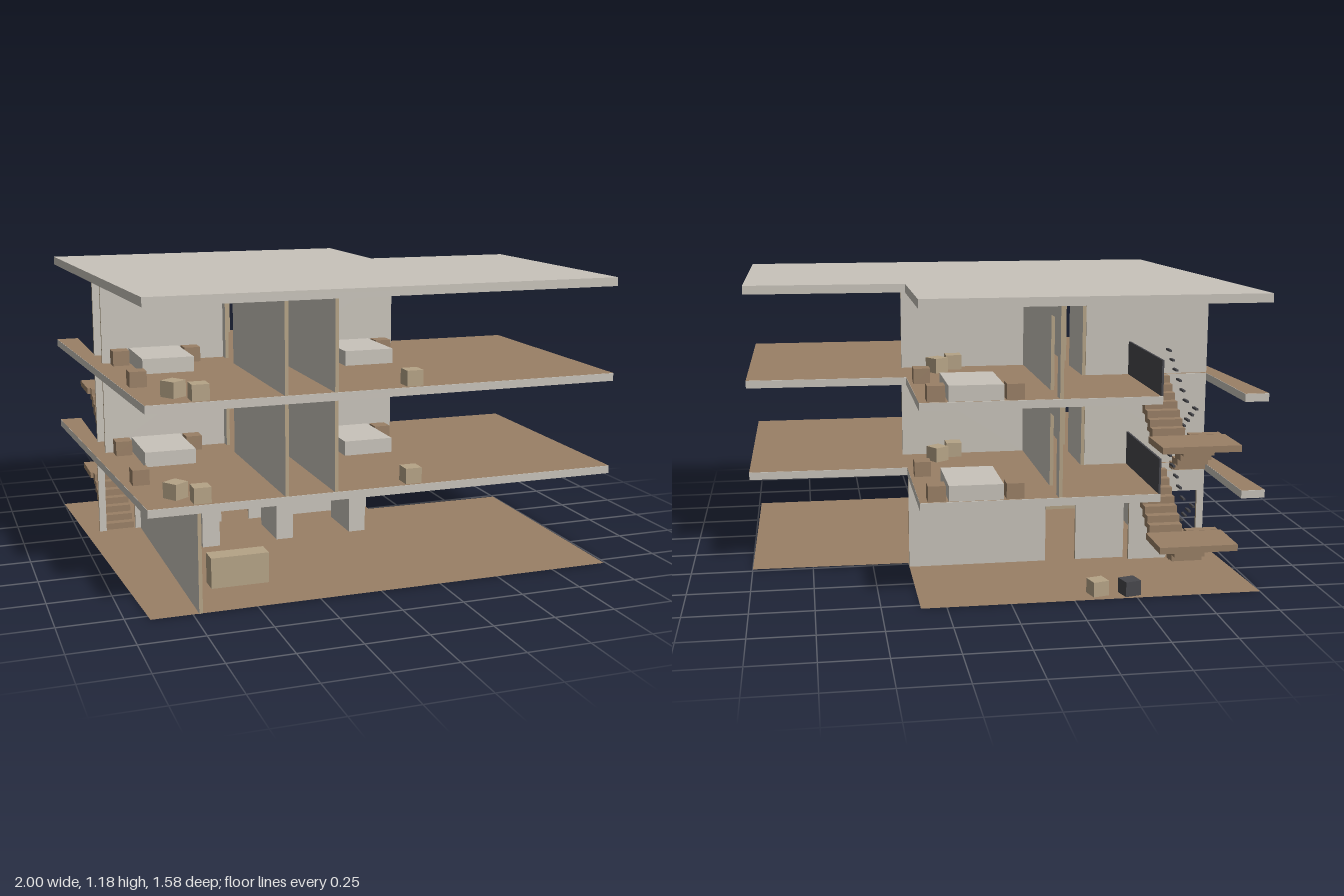
import * as THREE from 'three';

const mat = (name, color, extra = {}) => {
  const m = new THREE.MeshStandardMaterial({ color, ...extra });
  m.name = name;
  return m;
};

export function createModel() {
  const model = new THREE.Group();
  model.name = 'cutawayBuilding';
  const concrete = mat('concrete', 0xc8c3ba);
  const wood = mat('wood', 0x9a8066);
  const floorWood = mat('floorWood', 0x9a8066, { side: THREE.DoubleSide });
  const tan = mat('tan', 0xb5a386);
  const dark = mat('dark', 0x47474c);

  const add = (name, geo, material, parent = model) => {
    const m = new THREE.Mesh(geo, material);
    m.name = name;
    parent.add(m);
    return m;
  };
  // box given by its extents on each axis
  const box = (name, material, [x0, x1], [y0, y1], [z0, z1], parent) => {
    const m = add(name, new THREE.BoxGeometry(x1 - x0, y1 - y0, z1 - z0), material, parent);
    m.position.set((x0 + x1) / 2, (y0 + y1) / 2, (z0 + z1) / 2);
    return m;
  };
  // cube standing on y, turned about its centre
  const cube = (name, material, x, y, z, turn = 0, size = 0.066, parent = model) => {
    const h = 0.061;
    const m = add(name, new THREE.BoxGeometry(size, h, size), material, parent);
    m.position.set(x, y + h / 2, z);
    m.rotation.y = turn;
    return m;
  };
  const plan = (pts) => new THREE.Shape(pts.map(([x, z]) => new THREE.Vector2(x, -z)));

  // Wall from a to b along an axis, centred on the other axis at "at".
  // Doors are notches in the outline; the cut edges are tan.
  const wall = (name, axis, at, a, b, y0, y1, doors = [], parent = model) => {
    const t = 0.014, doorTop = y0 + 0.295;
    const pts = [[a, y0]];
    for (const [d0, d1] of doors) pts.push([d0, y0], [d0, doorTop], [d1, doorTop], [d1, y0]);
    pts.push([b, y0], [b, y1], [a, y1]);
    const geo = new THREE.ExtrudeGeometry(
      new THREE.Shape(pts.map(p => new THREE.Vector2(...p))), { depth: t, bevelEnabled: false });
    geo.translate(0, 0, -t / 2);
    if (axis === 'z') geo.rotateY(-Math.PI / 2);
    const m = add(name, geo, [concrete, tan], parent);
    if (axis === 'z') m.position.x = at; else m.position.z = at;
  };

  // Slabs: full outline for ground and roof, stairwell cut for the storeys
  const rest = [[0.35, -0.79], [0.35, -0.24], [1, -0.23], [0.99, 0.79], [-0.91, 0.79]];
  const full = [[-1, -0.79], ...rest];
  const cut = [[-1, -0.79], [-0.905, -0.79], [-0.905, -0.315], [-0.58, -0.315], [-0.58, -0.79], ...rest];
  const slab = (name, pts, y0, y1) => {
    const geo = new THREE.ExtrudeGeometry(plan(pts), { depth: y1 - y0, bevelEnabled: false });
    add(name, geo.rotateX(-Math.PI / 2), concrete).position.y = y0;
  };
  const flooring = (name, pts, y) =>
    add(name, new THREE.ShapeGeometry(plan(pts)).rotateX(-Math.PI / 2), floorWood).position.y = y;

  flooring('groundFloor', full, 0.001);
  slab('firstSlab', cut, 0.386, 0.417);
  slab('secondSlab', cut, 0.769, 0.8);
  slab('roofSlab', full, 1.15, 1.185);

  // Ground storey
  wall('entranceSideWall', 'z', -0.72, -0.3, 0.79, 0, 0.386);
  wall('lobbyBackWall', 'x', -0.283, -0.57, 0.35, 0, 0.386, [[-0.36, -0.23]]);
  wall('stairFrontWall', 'x', -0.315, -0.91, -0.585, 0, 0.386, [[-0.88, -0.75]]);
  for (const x of [-0.492, -0.16, 0.177])
    box('counter', concrete, [x - 0.038, x + 0.038], [0, 0.2], [-0.18, 0.055]);
  box('receptionDesk', tan, [-0.62, -0.385], [0, 0.125], [0.475, 0.555]);
  cube('tanBin', tan, -0.355, 0, -0.725, 0.25);
  cube('darkBin', dark, -0.48, 0, -0.74, 0.25);

  // Bed with two nightstands; dir is the way the foot points
  const bedSet = (parent, x, y, z, dir) => {
    const span = (d) => dir > 0 ? [z, z + d] : [z - d, z];
    box('bed', concrete, [x - 0.105, x + 0.105], [y, y + 0.061], span(0.285), parent);
    for (const s of [-1, 1])
      cube('nightstand', wood, x + s * 0.15, y, z + dir * 0.037, 0, 0.068, parent);
  };

  // Upper storeys share one layout
  for (const [y, top, label] of [[0.418, 0.769, 'first'], [0.801, 1.15, 'second']]) {
    const g = new THREE.Group();
    g.name = label + 'Storey';
    model.add(g);
    flooring(label + 'Flooring', cut, y);
    wall('leftCorridorWall', 'z', -0.188, -0.79, 0.79, y, top, [[-0.74, -0.61], [0.05, 0.175]], g);
    wall('rightCorridorWall', 'z', -0.383, -0.3, 0.79, y, top, [[-0.045, 0.082]], g);
    wall('leftCrossWall', 'x', 0, -0.18, 0.35, y, top, [], g);
    wall('rightCrossWall', 'x', -0.09, -0.91, -0.391, y, top, [], g);
    wall('stairWall', 'x', -0.293, -0.91, -0.391, y, top, [], g);
    box('stairBalustrade', dark, [-0.58, -0.572], [y, y + 0.138], [-0.79, -0.3], g);

    bedSet(g, 0.135, y, 0.008, 1);
    bedSet(g, 0.135, y, -0.785, -1 * -1);
    bedSet(g, -0.693, y, -0.08, 1);
    cube('stool', tan, 0.133, y, 0.745, 0, 0.066, g);
    // loose seats: stool, turned stool, side chair
    cube('stool', tan, -0.702, y, 0.745, 0, 0.066, g);
    cube('turnedStool', tan, -0.778, y, 0.665, 0.6, 0.066, g);
    cube('sideChair', wood, -0.866, y, 0.43, 0, 0.066, g);
    cube('stool', tan, 0.133, y, -0.047, 0, 0.066, g);
    cube('turnedStool', tan, 0.21, y, -0.125, 0.6, 0.066, g);
    cube('sideChair', wood, 0.3, y, -0.367, 0, 0.066, g);
  }

  // Two-flight stairs with a half landing and stepped handrails
  const steps = 7, run = 0.038, zFront = -0.322, zTurn = zFront - steps * run;
  for (const [base, up] of [[0, 0.4], [0.4, 0.4]]) {
    const g = new THREE.Group();
    g.name = 'stairs';
    g.position.y = base;
    model.add(g);
    const rise = up / 2 / steps;
    for (let i = 0; i < steps; i++) {
      const t = (i + 1) * rise;
      const z = zFront - i * run;
      box('lowerStep', wood, [-0.887, -0.755], [Math.max(0, t - 0.05), t], [z - run, z], g);
      const t2 = up / 2 + t, z2 = zTurn + i * run;
      box('upperStep', wood, [-0.735, -0.6], [t2 - 0.05, t2], [z2, z2 + run], g);
    }
    box('landing', wood, [-0.9, -0.585], [0.173, 0.199], [-0.79, zTurn], g);
    for (let i = 0; i < 6; i++) {
      const z = -0.326 - i * 0.0495, yl = 0.14 + i * 0.033;
      box('lowerHandrail', dark, [-0.775, -0.765], [yl, yl + 0.008], [z - 0.049, z], g);
      const yu = 0.338 + (5 - i) * 0.033;
      box('upperHandrail', dark, [-0.735, -0.725], [yu, yu + 0.008], [z - 0.049, z], g);
    }
  }
  return model;
}
